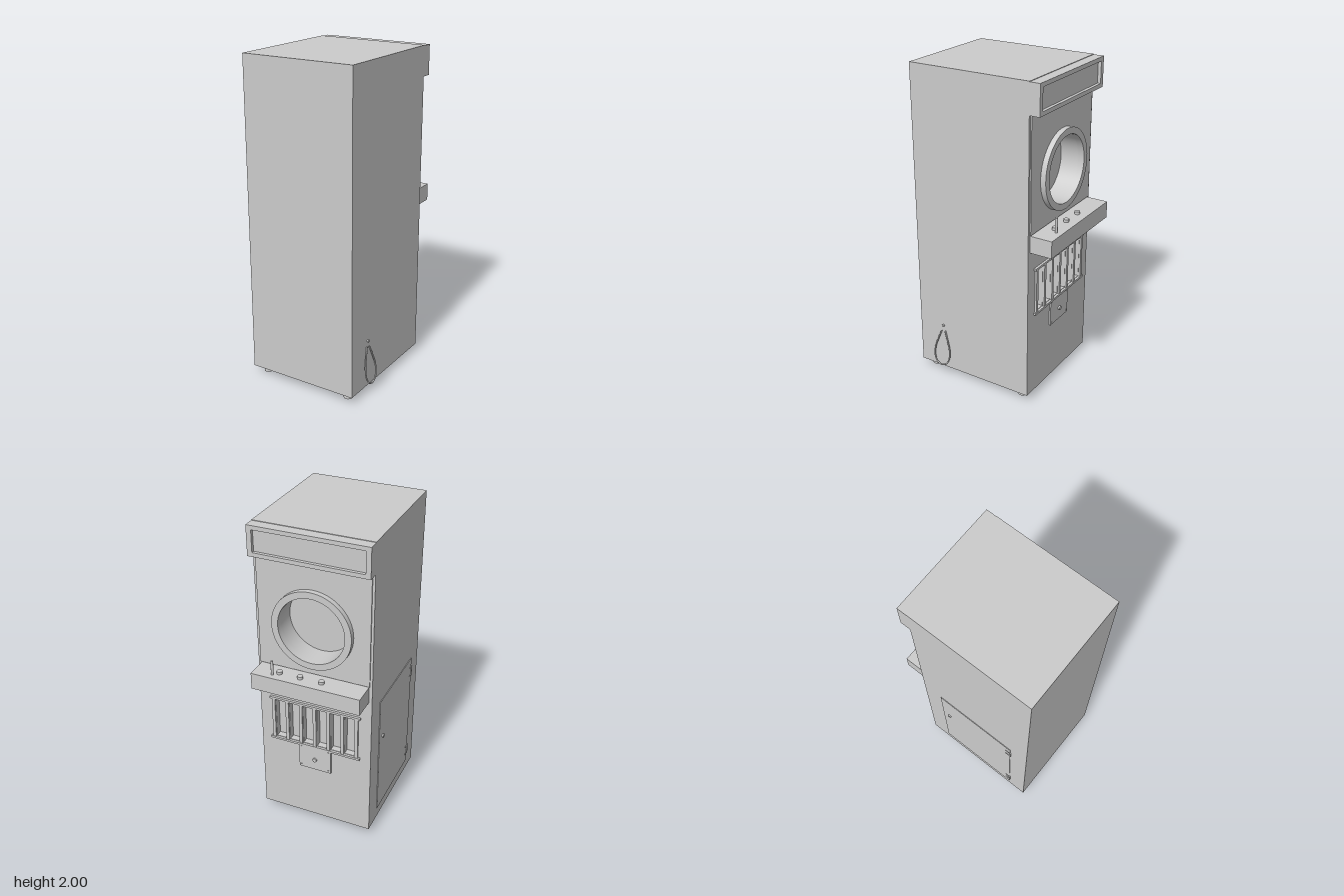
import * as THREE from 'three';
import { toCreasedNormals } from 'three/addons/utils/BufferGeometryUtils.js';

const CX = -0.015; // cabinet centre line
const FACE = -0.325; // plane of the control side

export function createModel() {
  const root = new THREE.Group();
  const mat = new THREE.MeshStandardMaterial({ color: 0xcccccc });

  const add = (name, geo, x = 0, y = 0, z = 0) => {
    const m = new THREE.Mesh(geo, mat);
    m.name = name;
    m.position.set(x, y, z);
    root.add(m);
    return m;
  };
  // Box given by its limits
  const box = (name, x0, x1, y0, y1, z0, z1) =>
    add(name, new THREE.BoxGeometry(x1 - x0, y1 - y0, z1 - z0), (x0 + x1) / 2, (y0 + y1) / 2, (z0 + z1) / 2);
  const rect = (x0, x1, y0, y1, P = THREE.Shape) =>
    new P([[x0, y0], [x1, y0], [x1, y1], [x0, y1]].map(p => new THREE.Vector2(...p)));
  const circle = (x, y, r, P = THREE.Path) => new P().absarc(x, y, r, 0, Math.PI * 2, false);
  // Plate with holes, running from z0 to z1
  const plate = (name, shape, holes, z0, z1) => {
    shape.holes.push(...holes);
    const g = new THREE.ExtrudeGeometry(shape, { depth: z1 - z0, bevelEnabled: false, curveSegments: 40 });
    return add(name, toCreasedNormals(g, 0.6), 0, 0, z0);
  };
  const cyl = (name, r, h, x, y, z, axis = 'y') => {
    const m = add(name, new THREE.CylinderGeometry(r, r, h, 24), x, y, z);
    if (axis === 'x') m.rotation.z = Math.PI / 2;
    if (axis === 'z') m.rotation.x = Math.PI / 2;
    return m;
  };

  // Cabinet: solid rear block and a front wall pierced by porthole and slots
  const L = -0.375, R = 0.345, BASE = 0.045, DEEP = -0.21;
  const portY = 1.41, portR = 0.205, pitch = 0.09;
  box('cabinetBody', L, R, BASE, 2, DEEP, 0.465);
  const slots = [];
  for (let i = 0; i < 6; i++) {
    const x = CX + (i - 2.5) * pitch;
    slots.push(rect(x - 0.033, x + 0.033, 0.595, 0.87, THREE.Path));
  }
  plate('cabinetFront', rect(L, R, BASE, 2), [circle(CX, portY, portR), ...slots], FACE, DEEP);
  box('slotBacking', CX - 0.28, CX + 0.28, 0.58, 0.885, -0.285, -0.27);

  // Screen panel and porthole ring
  plate('screenPanel', rect(L + 0.015, R - 0.015, 1.115, 1.815), [circle(CX, portY, portR)], FACE - 0.007, FACE);
  plate('portholeRing', circle(CX, portY, 0.245, THREE.Shape), [circle(CX, portY, portR)], -0.365, FACE);

  // Header with a recessed sign panel
  plate('headerFrame', rect(L, R, 1.815, 1.997), [rect(L + 0.03, R - 0.03, 1.84, 1.972, THREE.Path)], -0.39, FACE);
  box('headerPanel', L + 0.02, R - 0.02, 1.83, 1.98, -0.37, FACE);

  // Control shelf, buttons and lever
  box('controlShelf', -0.355, 0.325, 1.005, 1.11, -0.465, FACE);
  for (const x of [-0.093, 0.04, 0.172]) cyl('button', 0.017, 0.018, x, 1.118, -0.398);
  cyl('lever', 0.008, 0.094, 0.205, 1.155, -0.425);

  // Slot grille: rails and upright bars
  for (const y of [0.878, 0.585]) box('grilleRail', CX - 0.293, CX + 0.293, y - 0.007, y + 0.007, -0.34, FACE);
  for (let i = 0; i < 7; i++) {
    const x = CX + (i - 3) * pitch;
    box('grilleBar', x - 0.01, x + 0.01, 0.585, 0.878, -0.337, FACE);
  }

  // Lock plate below the grille
  box('lockPlate', CX - 0.105, CX + 0.105, 0.415, 0.585, -0.335, FACE);
  cyl('lockKnob', 0.013, 0.018, CX, 0.49, -0.336, 'z');
  for (const sx of [-1, 1])
    for (const y of [0.43, 0.57]) cyl('plateScrew', 0.005, 0.005, CX + sx * 0.09, y, -0.336, 'z');

  // Service door with knob and hinges
  box('serviceDoor', L - 0.004, L, 0.115, 0.93, -0.195, 0.345);
  cyl('doorKnob', 0.012, 0.014, L - 0.006, 0.655, -0.142, 'x');
  for (const y of [0.21, 0.835]) {
    box('hingeBarrel', L - 0.008, L, y - 0.035, y + 0.035, 0.34, 0.352);
    for (const s of [-1, 1]) box('hingeLeaf', L - 0.006, L, y + s * 0.03 - 0.005, y + s * 0.03 + 0.005, 0.312, 0.342);
  }

  // Hanging cord loop with its anchor
  const cord = [[0.31, 0.012], [0.25, 0.034], [0.18, 0.055], [0.12, 0.053], [0.085, 0.03]];
  const at = (y, dz) => new THREE.Vector3(0.348 + (0.31 - y) * 0.135, y, 0.29 + dz);
  const path = new THREE.CatmullRomCurve3([
    ...cord.map(([y, d]) => at(y, d)), at(0.075, 0),
    ...cord.slice().reverse().map(([y, d]) => at(y, -d)),
  ]);
  add('cordLoop', new THREE.TubeGeometry(path, 64, 0.005, 8));
  cyl('cordAnchor', 0.008, 0.012, R + 0.003, 0.345, 0.29, 'x');

  // Feet
  for (const x of [-0.312, 0.28])
    for (const z of [-0.255, 0.403]) cyl('foot', 0.026, 0.05, x, 0.025, z);

  return root;
}
